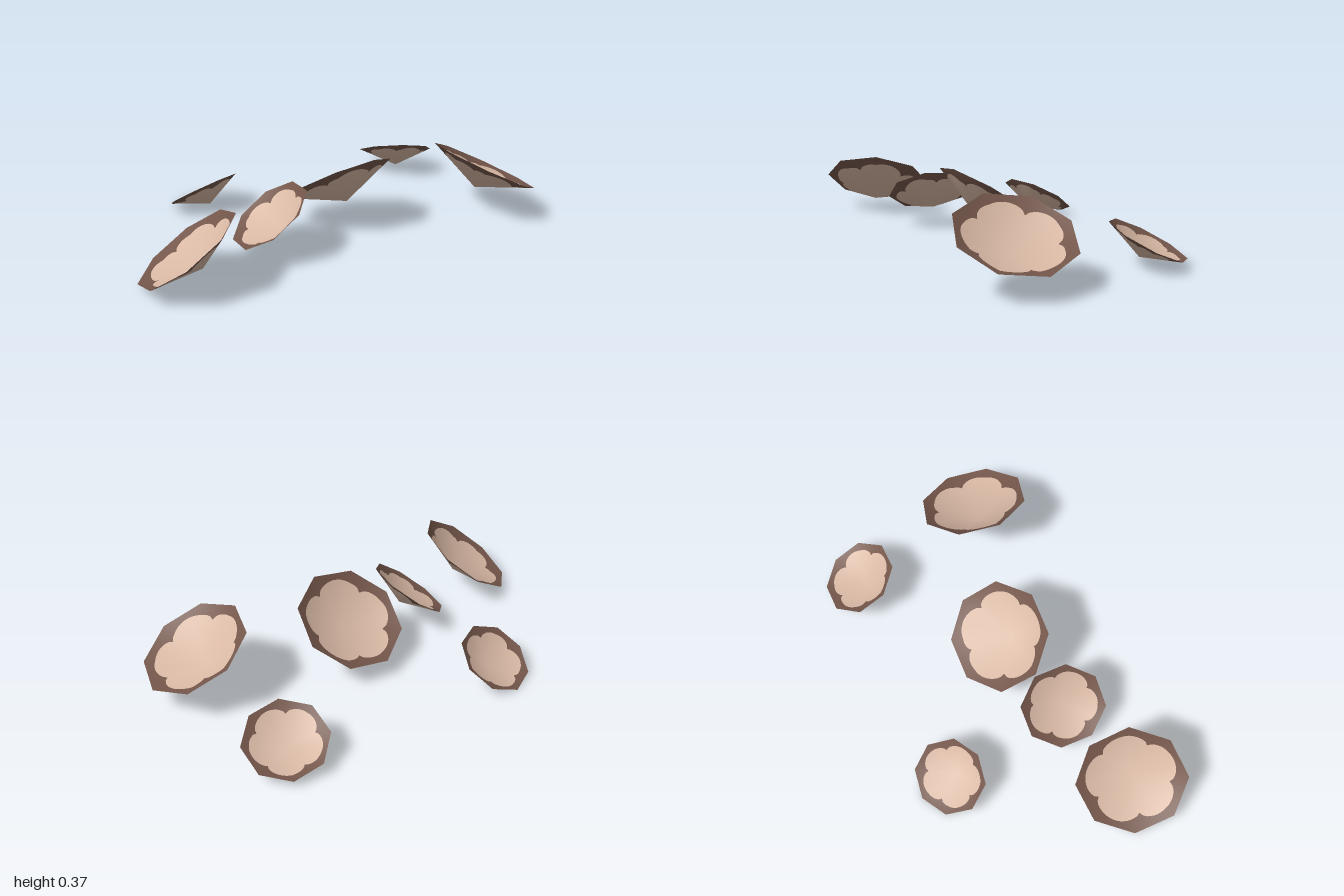
import * as THREE from 'three';

const SIDES = 8, STEPS = 80, DEPTH = 0.435;

const paleCentre = new THREE.MeshStandardMaterial({ color: 0xd8b8a4, side: THREE.DoubleSide });
const brownRim = new THREE.MeshStandardMaterial({ color: 0x74564a, side: THREE.DoubleSide });
paleCentre.name = 'paleCentre';
brownRim.name = 'brownRim';

// distance from the centre to the edge of a unit octagon
function octagonRadius(angle) {
  const step = (2 * Math.PI) / SIDES;
  const local = ((angle % step) + step) % step;
  return Math.cos(step / 2) / Math.cos(local - step / 2);
}

// five rounded lobes of the pale centre
const lobeRadius = (angle) => 0.66 + 0.16 * Math.sqrt(Math.abs(Math.sin(2.5 * angle + 0.4)));

// shallow eight-sided cup, its point down, split into a pale centre and a brown rim
function cupGeometry(radius) {
  const positions = [0, -DEPTH * radius, 0], normals = [0, 1, 0], index = [];
  const addPoint = (angle, distance) => {
    const t = distance / octagonRadius(angle);
    const x = Math.cos(angle), z = -Math.sin(angle);
    positions.push(x * distance * radius, DEPTH * (t - 1) * radius, z * distance * radius);
    const n = new THREE.Vector3(-x * DEPTH * t, 1, -z * DEPTH * t).normalize();
    normals.push(n.x, n.y, n.z);
  };
  for (const edge of [lobeRadius, octagonRadius])
    for (let i = 0; i < STEPS; i++) {
      const angle = (i / STEPS) * 2 * Math.PI;
      addPoint(angle, edge(angle));
    }
  for (let i = 0; i < STEPS; i++) index.push(0, 1 + i, 1 + ((i + 1) % STEPS));
  for (let i = 0; i < STEPS; i++) {
    const a = 1 + i, b = 1 + ((i + 1) % STEPS);
    index.push(a, a + STEPS, b + STEPS, a, b + STEPS, b);
  }
  const geometry = new THREE.BufferGeometry();
  geometry.setAttribute('position', new THREE.Float32BufferAttribute(positions, 3));
  geometry.setAttribute('normal', new THREE.Float32BufferAttribute(normals, 3));
  geometry.setIndex(index);
  geometry.addGroup(0, STEPS * 3, 0);
  geometry.addGroup(STEPS * 3, STEPS * 6, 1);
  return geometry;
}

// centre of the rim, radius, slope of the rim along x and z, direction of one corner in x and z
const cups = [
  { name: 'backLeftCup', at: [0.365, 0.23, -0.77], radius: 0.26, slope: [-0.1, 0.5], corner: [0, -1] },
  { name: 'backRightCup', at: [-0.29, 0.118, -0.79], radius: 0.188, slope: [0.4, 0.28], corner: [0.155, 0.088] },
  { name: 'middleCup', at: [0.065, 0.229, -0.115], radius: 0.257, slope: [0.7, 0], corner: [-0.03, -0.255] },
  { name: 'smallFrontCup', at: [0.125, 0.183, 0.32], radius: 0.2, slope: [0.25, -0.7], corner: [0.19, -0.02] },
  { name: 'rightCup', at: [-0.477, 0.1, 0.28], radius: 0.178, slope: [0.64, -0.14], corner: [0.147, 0.01] },
  { name: 'largeFrontCup', at: [0.175, 0.172, 0.775], radius: 0.254, slope: [0.44, -0.56], corner: [0.218, 0.135] },
];

export function createModel() {
  const group = new THREE.Group();
  group.name = 'scatteredCups';
  for (const { name, at, radius, slope, corner } of cups) {
    const mesh = new THREE.Mesh(cupGeometry(radius), [paleCentre, brownRim]);
    mesh.name = name;
    // tilt the rim to its slope and turn it to the corner
    const up = new THREE.Vector3(-slope[0], 1, -slope[1]).normalize();
    const out = new THREE.Vector3(corner[0], corner[0] * slope[0] + corner[1] * slope[1], corner[1]).normalize();
    const side = new THREE.Vector3().crossVectors(out, up);
    mesh.quaternion.setFromRotationMatrix(new THREE.Matrix4().makeBasis(out, up, side));
    mesh.position.set(...at);
    group.add(mesh);
  }
  return group;
}
